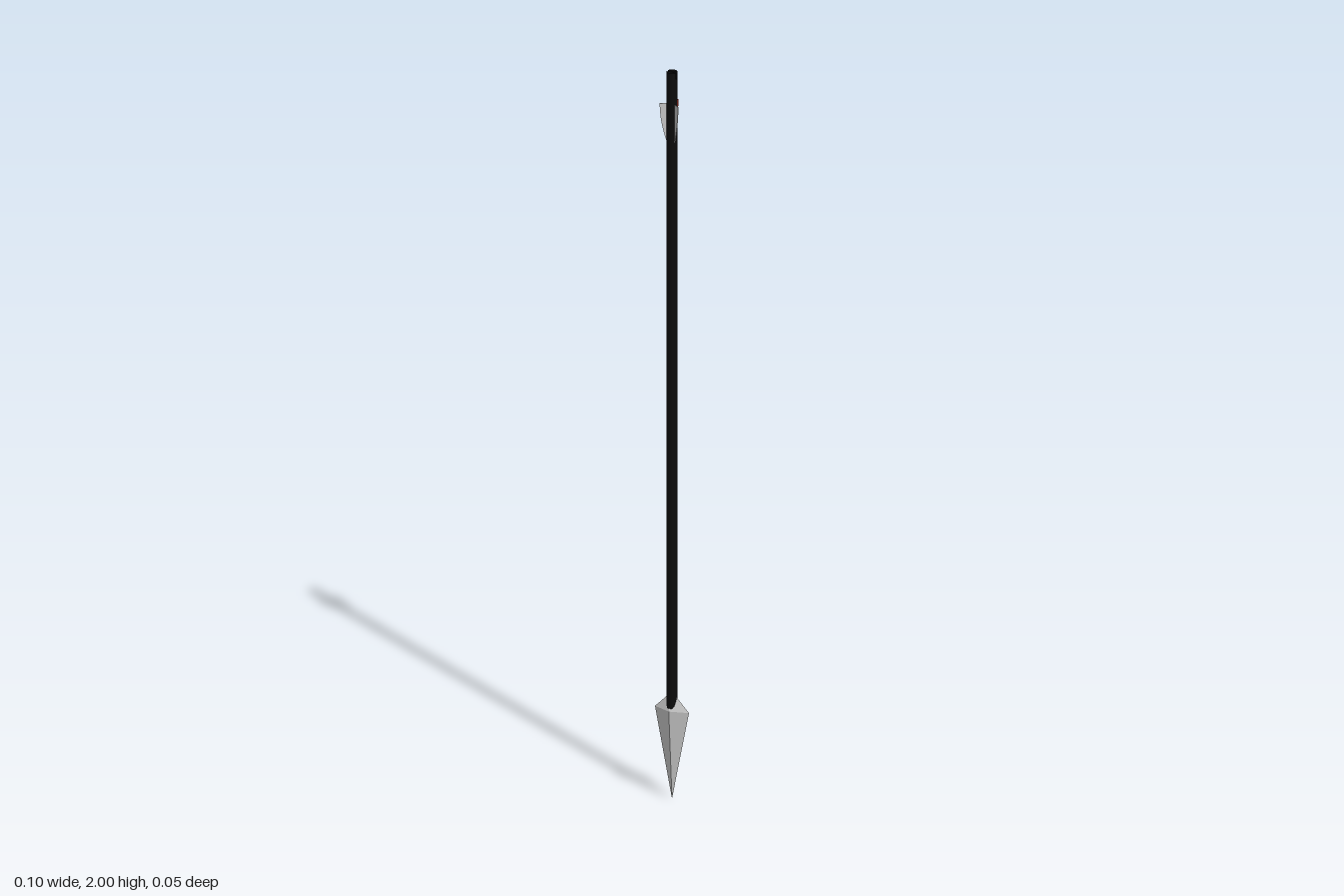
import * as THREE from 'three';

const R = 0.014;        // shaft radius
const AXIS_Z = 0.008;   // shaft axis offset
const NOCK = 0.018;     // depth of the string slot

function part(parent, name, geometry, color, options = {}) {
  const material = new THREE.MeshStandardMaterial({ color, ...options });
  const mesh = new THREE.Mesh(geometry, material);
  mesh.name = name;
  parent.add(mesh);
  return mesh;
}

export function createModel() {
  const arrow = new THREE.Group();
  arrow.name = 'arrow';
  arrow.position.z = AXIS_Z;

  // Four-sided diamond head, flattened front to back
  const head = new THREE.LatheGeometry([
    new THREE.Vector2(0, 0),
    new THREE.Vector2(0.05, 0.245),
    new THREE.Vector2(0, 0.295),
  ], 4);
  head.scale(1, 1, 0.33);
  part(arrow, 'arrowhead', head, 0xcccccc, { flatShading: true });

  // Shaft
  const bottom = 0.24, top = 2 - NOCK;
  const shaft = new THREE.CylinderGeometry(R, R, top - bottom, 20);
  shaft.translate(0, (top + bottom) / 2, 0);
  part(arrow, 'shaft', shaft, 0x0b0b0b);

  // Two nock prongs with the string slot between them
  const edge = Math.asin(0.004 / R);
  const prong = new THREE.Shape();
  prong.absarc(0, 0, R, edge, Math.PI - edge, false);
  prong.closePath();
  for (const [name, turn] of [['backNockProng', 0], ['frontNockProng', Math.PI]]) {
    const geometry = new THREE.ExtrudeGeometry(prong, { depth: NOCK, bevelEnabled: false, curveSegments: 10 });
    geometry.rotateX(-Math.PI / 2).rotateY(turn).translate(0, top, 0);
    part(arrow, name, geometry, 0x0b0b0b);
  }

  // Three thin vanes, the red one at the back
  const vane = new THREE.Shape();
  vane.moveTo(0.01, 1.81);
  vane.lineTo(0.014, 1.81);
  vane.quadraticCurveTo(0.027, 1.85, 0.03, 1.885);
  vane.lineTo(0.032, 1.913);
  vane.lineTo(0.01, 1.913);
  vane.closePath();
  const thickness = 0.0015;
  const vanes = [
    ['backVane', Math.PI / 2, 0xd03a28],
    ['leftVane', -Math.PI / 6, 0xcccccc],
    ['rightVane', -Math.PI * 5 / 6, 0xcccccc],
  ];
  for (const [name, angle, color] of vanes) {
    const geometry = new THREE.ExtrudeGeometry(vane, { depth: thickness, bevelEnabled: false, curveSegments: 6 });
    geometry.translate(0, 0, -thickness / 2).rotateY(angle);
    part(arrow, name, geometry, color);
  }

  const model = new THREE.Group();
  model.name = 'arrowModel';
  model.add(arrow);
  return model;
}
